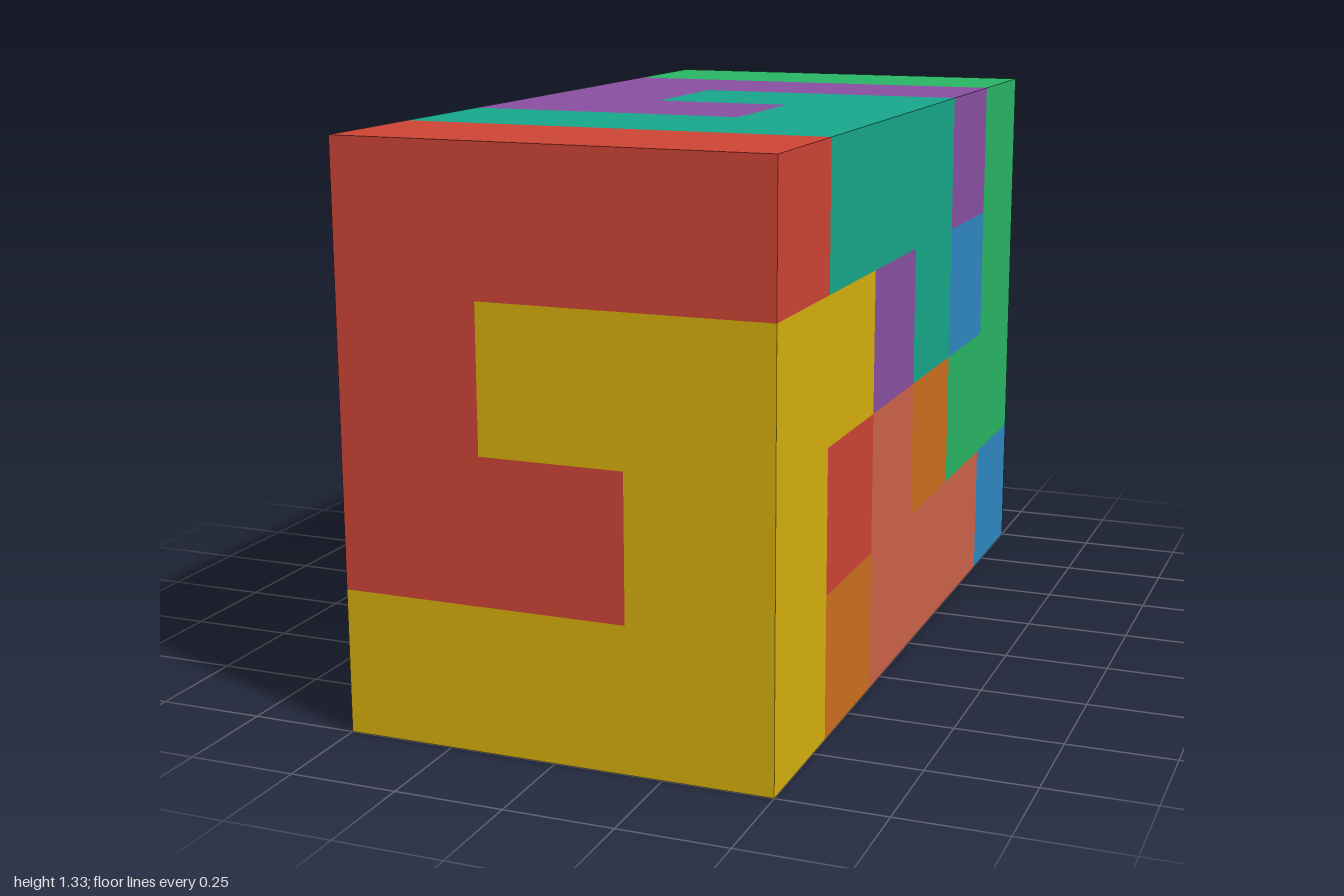
import * as THREE from 'three';

const U = 1 / 3; // edge of one puzzle cell

// Hooked plate covering six cells: a top bar, a side column and a hook
function plateGeometry() {
  const outline = [[-1.5, 2], [-1.5, -1], [0.5, -1], [0.5, 0], [-0.5, 0], [-0.5, 1], [1.5, 1], [1.5, 2]];
  const shape = new THREE.Shape(outline.map(([x, y]) => new THREE.Vector2(x * U, y * U)));
  const geometry = new THREE.ExtrudeGeometry(shape, { depth: U, bevelEnabled: false });
  return geometry.translate(0, 0, -U / 2);
}

export function createModel() {
  const model = new THREE.Group();
  model.name = 'interlockingBlockPuzzle';
  const plate = plateGeometry();
  const bar = new THREE.BoxGeometry(3 * U, U, U);

  // One piece: the hooked plate with a three-cell bar behind its hook
  function makePiece(name, color) {
    const piece = new THREE.Group();
    piece.name = name;
    const material = new THREE.MeshStandardMaterial({ color });
    const plateMesh = new THREE.Mesh(plate, material);
    plateMesh.name = name + 'Plate';
    const barMesh = new THREE.Mesh(bar, material);
    barMesh.name = name + 'Bar';
    barMesh.position.set(0, -U / 2, -U);
    piece.add(plateMesh, barMesh);
    return piece;
  }

  // Each side holds two identical pieces, one turned half round into the other
  const sides = [
    { name: 'front', pos: [0, 2, 2.5], rot: [0, 0, 0], pieces: [['redPiece', 0xcb4335], ['yellowPiece', 0xd4ac0d]] },
    { name: 'back', pos: [0, 2, -2.5], rot: [0, Math.PI, 0], pieces: [['greenPiece', 0x28b463], ['bluePiece', 0x2e86c1]] },
    { name: 'top', pos: [0, 3.5, 0], rot: [-Math.PI / 2, 0, 0], pieces: [['purplePiece', 0x884ea0], ['tealPiece', 0x17a589]] },
    { name: 'bottom', pos: [0, 0.5, 0], rot: [Math.PI / 2, 0, 0], pieces: [['orangePiece', 0xca6f1e], ['salmonPiece', 0xcb6249]] },
  ];
  for (const { name, pos, rot, pieces } of sides) {
    const pair = new THREE.Group();
    pair.name = name + 'Pair';
    pair.position.set(...pos).multiplyScalar(U);
    pair.rotation.set(...rot);
    pieces.forEach(([pieceName, color], i) => {
      const piece = makePiece(pieceName, color);
      piece.rotation.z = i * Math.PI;
      pair.add(piece);
    });
    model.add(pair);
  }
  return model;
}
